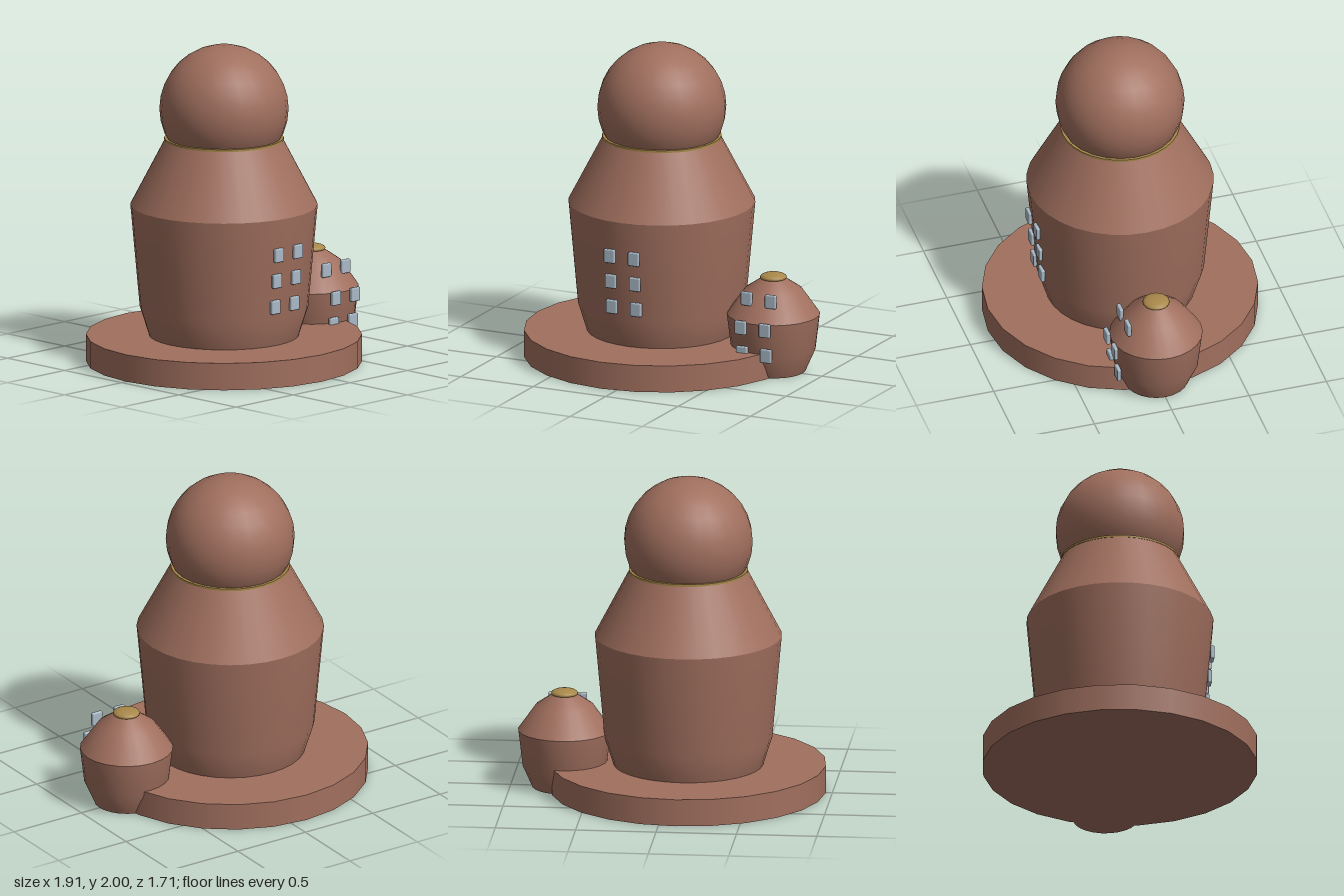
import * as THREE from 'three';
import { RoundedBoxGeometry } from 'three/addons/geometries/RoundedBoxGeometry.js';

const material = (name, color) => {
  const m = new THREE.MeshStandardMaterial({ color });
  m.name = name;
  return m;
};

export function createModel() {
  const clay = material('terracotta', 0xa06f5e);
  const gold = material('old gold', 0xa8884a);
  const glass = material('pale blue', 0xaabac8);
  const root = new THREE.Group();
  root.name = 'towerHouse';

  const add = (parent, name, geometry, mat, x = 0, y = 0, z = 0) => {
    const mesh = new THREE.Mesh(geometry, mat);
    mesh.name = name;
    mesh.position.set(x, y, z);
    parent.add(mesh);
    return mesh;
  };
  // Turned wall from [radius, height] pairs
  const lathe = (points, segments) =>
    new THREE.LatheGeometry(points.map(([r, y]) => new THREE.Vector2(r, y)), segments);

  // Two columns of panes; each row is [height, depth]
  const addWindows = (parent, rows) => {
    const pane = new RoundedBoxGeometry(0.075, 0.087, 0.026, 2, 0.008);
    for (const [y, z] of rows) {
      for (const side of [-1, 1]) add(parent, 'window', pane, glass, side * 0.083, y, z);
    }
  };

  // Large tower on its round plinth
  const tower = new THREE.Group();
  tower.name = 'tower';
  tower.position.x = -0.105;
  root.add(tower);
  add(tower, 'plinth', new THREE.CylinderGeometry(0.855, 0.855, 0.17, 24), clay, 0, 0.085);
  add(tower, 'lowerWall', lathe([[0.41, 0.01], [0.465, 0.17], [0.522, 0.35], [0.58, 0.995]], 32), clay);
  add(tower, 'shoulder', lathe([[0.58, 0.995], [0.366, 1.405]], 32), clay);
  add(tower, 'collar', new THREE.CylinderGeometry(0.37, 0.37, 0.014, 32), gold, 0, 1.41);
  add(tower, 'dome', new THREE.SphereGeometry(0.4, 24, 16), clay, 0, 1.6);
  addWindows(tower, [[0.768, 0.563], [0.602, 0.547], [0.435, 0.532]]);

  // Small turret at the tower's left
  const turret = new THREE.Group();
  turret.name = 'turret';
  turret.position.x = 0.665;
  root.add(turret);
  add(turret, 'turretWall', lathe([[0, 0], [0.2, 0]], 24), clay).material.side = THREE.FrontSide;
  add(turret, 'turretLowerWall', lathe([[0.2, 0], [0.262, 0.14], [0.289, 0.365]], 24), clay);
  add(turret, 'turretRoof', lathe([[0.289, 0.365], [0.18, 0.52], [0.07, 0.595]], 24), clay);
  const cap = add(turret, 'turretCap', new THREE.SphereGeometry(0.083, 24, 12), gold, 0, 0.598);
  cap.scale.y = 0.33;
  addWindows(turret, [[0.5, 0.207], [0.335, 0.292], [0.167, 0.272]]);

  return root;
}
